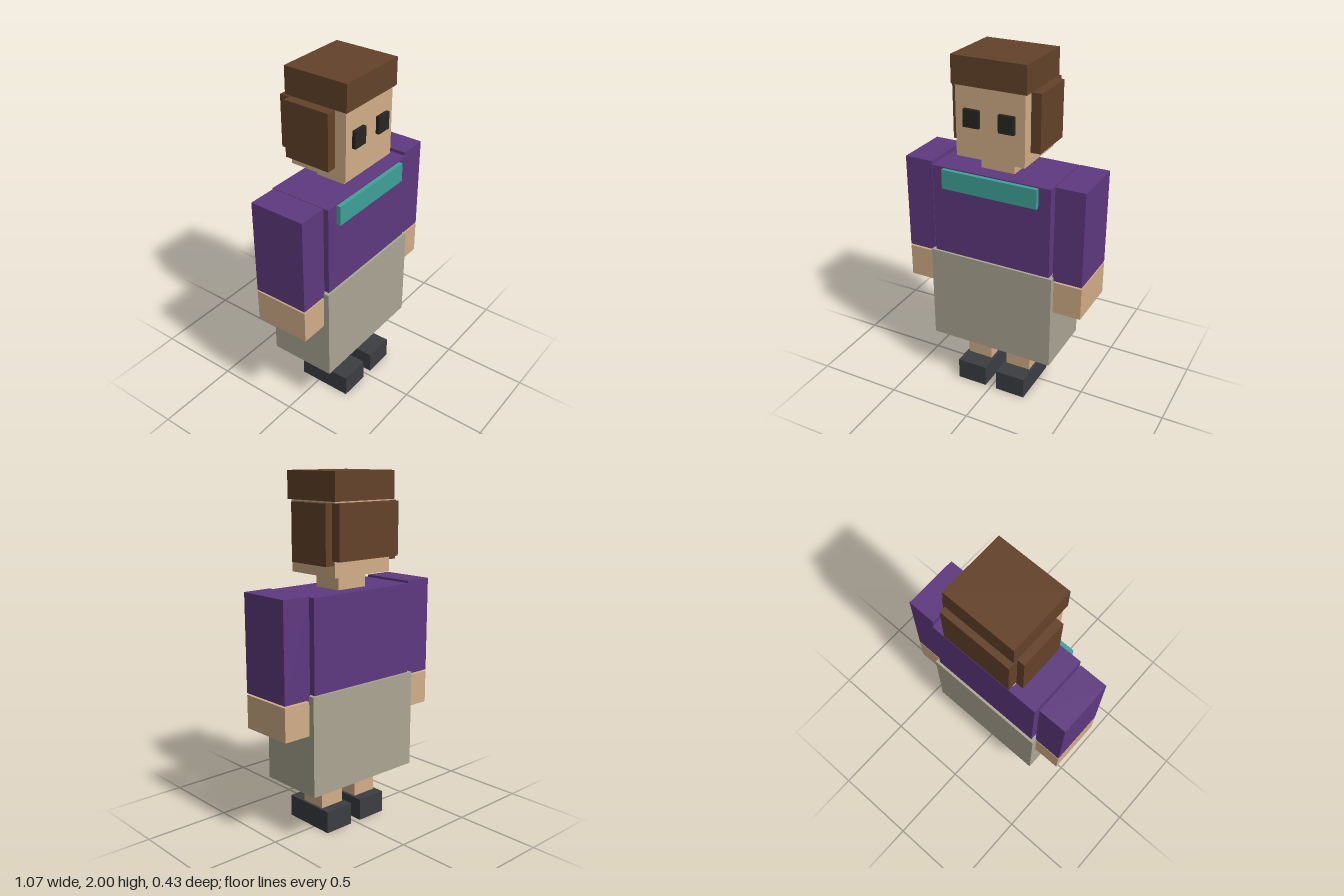
import * as THREE from 'three';

export function createModel() {
  const model = new THREE.Group();
  model.name = 'blockFigure';

  const material = (color) => new THREE.MeshStandardMaterial({ color });
  const skin = material(0xd2ae88);
  const hair = material(0x63422a);
  const shirt = material(0x5f397f);
  const skirt = material(0xaba593);
  const teal = material(0x3fa198);
  const shoe = material(0x3c3d42);
  const dark = material(0x272621);

  // Box given by its [min, max] extent on each axis
  function block(name, mat, [x0, x1], [y0, y1], [z0, z1]) {
    const mesh = new THREE.Mesh(new THREE.BoxGeometry(x1 - x0, y1 - y0, z1 - z0), mat);
    mesh.position.set((x0 + x1) / 2, (y0 + y1) / 2, (z0 + z1) / 2);
    mesh.name = name;
    model.add(mesh);
  }

  // Mirrored pair, extents given for the left (+x) side
  function pair(name, mat, [x0, x1], y, z) {
    block('left' + name, mat, [x0, x1], y, z);
    block('right' + name, mat, [-x1, -x0], y, z);
  }

  // Legs and shoes
  pair('Shoe', shoe, [0.035, 0.217], [0, 0.127], [-0.117, 0.206]);
  pair('Leg', skin, [0.05, 0.203], [0.127, 0.287], [-0.055, 0.1]);

  // Clothed body
  block('skirt', skirt, [-0.374, 0.374], [0.287, 0.852], [-0.189, 0.205]);
  block('torso', shirt, [-0.353, 0.353], [0.852, 1.372], [-0.174, 0.191]);
  block('collar', teal, [-0.283, 0.283], [1.255, 1.366], [0.191, 0.216]);

  // Arms and hands
  pair('Sleeve', shirt, [0.368, 0.537], [0.83, 1.382], [-0.154, 0.172]);
  pair('Hand', skin, [0.368, 0.537], [0.63, 0.82], [-0.154, 0.172]);

  // Head
  block('neck', skin, [-0.1, 0.1], [1.372, 1.456], [-0.08, 0.1]);
  block('head', skin, [-0.2, 0.2], [1.456, 1.848], [-0.165, 0.185]);
  pair('Eye', dark, [0.057, 0.147], [1.63, 1.727], [0.185, 0.206]);

  // Hair
  block('hairTop', hair, [-0.214, 0.214], [1.848, 2], [-0.183, 0.2]);
  block('hairBack', hair, [-0.214, 0.214], [1.545, 1.84], [-0.216, -0.155]);
  pair('HairSide', hair, [0.198, 0.256], [1.52, 1.84], [-0.157, 0.118]);

  return model;
}
